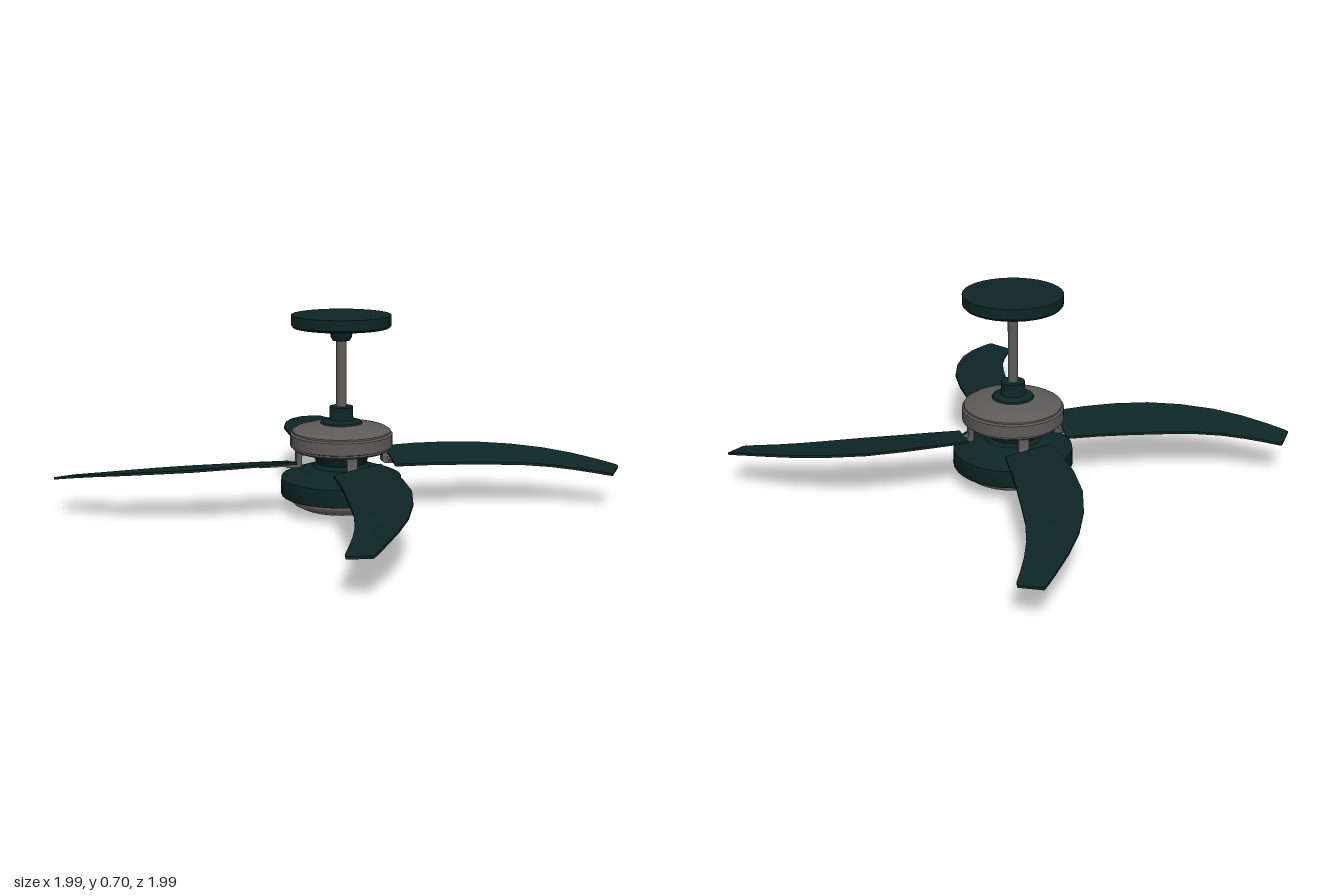
import * as THREE from 'three';
import { toCreasedNormals } from 'three/addons/utils/BufferGeometryUtils.js';

const material = (name, color) => {
  const m = new THREE.MeshStandardMaterial({ color });
  m.name = name;
  return m;
};

// Revolved part; the profile runs bottom to top as [radius, height]
function turned(name, profile, mat) {
  const points = profile.map(([r, y]) => new THREE.Vector2(r, y));
  const mesh = new THREE.Mesh(toCreasedNormals(new THREE.LatheGeometry(points, 32), 0.5), mat);
  mesh.name = name;
  return mesh;
}

// Curved, pitched blade lofted through stations of its raised and lowered edges
function bladeGeometry() {
  const stations = [ // raised edge x, y, z, then lowered edge x, y, z
    [0.18, 0.205, -0.095, 0.18, 0.173, 0.07],
    [0.30, 0.206, -0.107, 0.30, 0.173, 0.077],
    [0.41, 0.204, -0.111, 0.40, 0.171, 0.085],
    [0.54, 0.199, -0.103, 0.52, 0.168, 0.098],
    [0.66, 0.192, -0.072, 0.64, 0.163, 0.112],
    [0.77, 0.182, -0.026, 0.74, 0.155, 0.133],
    [0.86, 0.170, 0.030, 0.82, 0.146, 0.160],
    [0.94, 0.155, 0.092, 0.89, 0.137, 0.190],
    [0.985, 0.145, 0.130, 0.93, 0.131, 0.209],
    [0.996, 0.141, 0.143, 0.945, 0.129, 0.210],
  ];
  const thickness = 0.009;
  const positions = [];
  const rings = stations.map(([ax, ay, az, bx, by, bz]) => [
    [ax, ay, az], [bx, by, bz], [bx, by - thickness, bz], [ax, ay - thickness, az],
  ]);
  const quad = (a, b, c, d) => positions.push(...a, ...b, ...c, ...a, ...c, ...d);
  for (let i = 0; i < rings.length - 1; i++) {
    for (let k = 0; k < 4; k++) {
      const n = (k + 1) % 4;
      quad(rings[i][k], rings[i][n], rings[i + 1][n], rings[i + 1][k]);
    }
  }
  quad(...[...rings[0]].reverse());
  quad(...rings[rings.length - 1]);
  const geometry = new THREE.BufferGeometry();
  geometry.setAttribute('position', new THREE.Float32BufferAttribute(positions, 3));
  return toCreasedNormals(geometry, 0.6);
}

// Hooked arm drawn in side profile and extruded across its width
function hookGeometry() {
  const s = new THREE.Shape();
  s.moveTo(0.135, 0.228);
  s.lineTo(0.135, 0.212);
  s.quadraticCurveTo(0.146, 0.212, 0.146, 0.20);
  s.lineTo(0.146, 0.180);
  s.quadraticCurveTo(0.146, 0.166, 0.160, 0.166);
  s.lineTo(0.20, 0.168);
  s.lineTo(0.20, 0.180);
  s.lineTo(0.172, 0.180);
  s.quadraticCurveTo(0.164, 0.180, 0.164, 0.188);
  s.lineTo(0.164, 0.228);
  s.closePath();
  const g = new THREE.ExtrudeGeometry(s, { depth: 0.036, bevelEnabled: false, curveSegments: 5 });
  return toCreasedNormals(g.translate(0, 0, -0.018), 0.6);
}

// Tapered plate that carries the blade root
function plateGeometry() {
  const s = new THREE.Shape();
  s.moveTo(0.165, -0.018);
  s.lineTo(0.285, -0.032);
  s.lineTo(0.295, 0);
  s.lineTo(0.285, 0.032);
  s.lineTo(0.165, 0.018);
  s.closePath();
  const g = new THREE.ExtrudeGeometry(s, { depth: 0.01, bevelEnabled: false });
  return g.rotateX(-Math.PI / 2);
}

export function createModel() {
  const fan = new THREE.Group();
  fan.name = 'ceilingFan';
  const green = material('dark green', 0x0e2626);
  const metal = material('grey metal', 0x5f5b5b);
  const glass = material('light grey glass', 0x85817e);

  // Ceiling mount and hanging rod
  fan.add(turned('canopy', [
    [0, 0.61], [0.03, 0.61], [0.037, 0.622], [0.04, 0.642], [0.075, 0.645],
    [0.168, 0.656], [0.175, 0.664], [0.175, 0.70], [0, 0.70],
  ], green));
  const rod = new THREE.Mesh(new THREE.CylinderGeometry(0.018, 0.018, 0.28, 20), metal);
  rod.name = 'rod';
  rod.position.y = 0.49;
  fan.add(rod);
  fan.add(turned('rodCollar', [
    [0, 0.31], [0.078, 0.31], [0.072, 0.323], [0.045, 0.331],
    [0.042, 0.338], [0.042, 0.376], [0, 0.376],
  ], green));

  // Motor with a stepped rim
  fan.add(turned('motor', [
    [0, 0.214], [0.135, 0.214], [0.165, 0.222], [0.172, 0.228], [0.172, 0.234],
    [0.181, 0.237], [0.181, 0.280], [0.174, 0.285], [0.174, 0.291], [0.160, 0.299],
    [0.120, 0.309], [0.07, 0.318], [0, 0.318],
  ], metal));

  // Waisted neck flaring into the light housing
  fan.add(turned('lightHousing', [
    [0, 0.062], [0.213, 0.062], [0.215, 0.066], [0.213, 0.125], [0.200, 0.131],
    [0.145, 0.150], [0.100, 0.162], [0.090, 0.176], [0.096, 0.196], [0.110, 0.216], [0, 0.216],
  ], green));
  fan.add(turned('lightBowl', [
    [0, 0], [0.05, 0.001], [0.10, 0.006], [0.14, 0.016], [0.17, 0.031],
    [0.187, 0.048], [0.192, 0.064],
  ], glass));

  // Four blades with their brackets
  const blade = bladeGeometry();
  const hook = hookGeometry();
  const plate = plateGeometry();
  for (let i = 0; i < 4; i++) {
    const arm = new THREE.Group();
    arm.name = 'bladeArm';
    const bladeMesh = new THREE.Mesh(blade, green);
    bladeMesh.name = 'blade';
    const hookMesh = new THREE.Mesh(hook, metal);
    hookMesh.name = 'bracketHook';
    const plateMesh = new THREE.Mesh(plate, metal);
    plateMesh.name = 'bracketPlate';
    plateMesh.position.y = 0.169;
    plateMesh.rotation.x = 0.19;
    arm.add(bladeMesh, hookMesh, plateMesh);
    arm.rotation.y = i * Math.PI / 2;
    fan.add(arm);
  }
  return fan;
}
